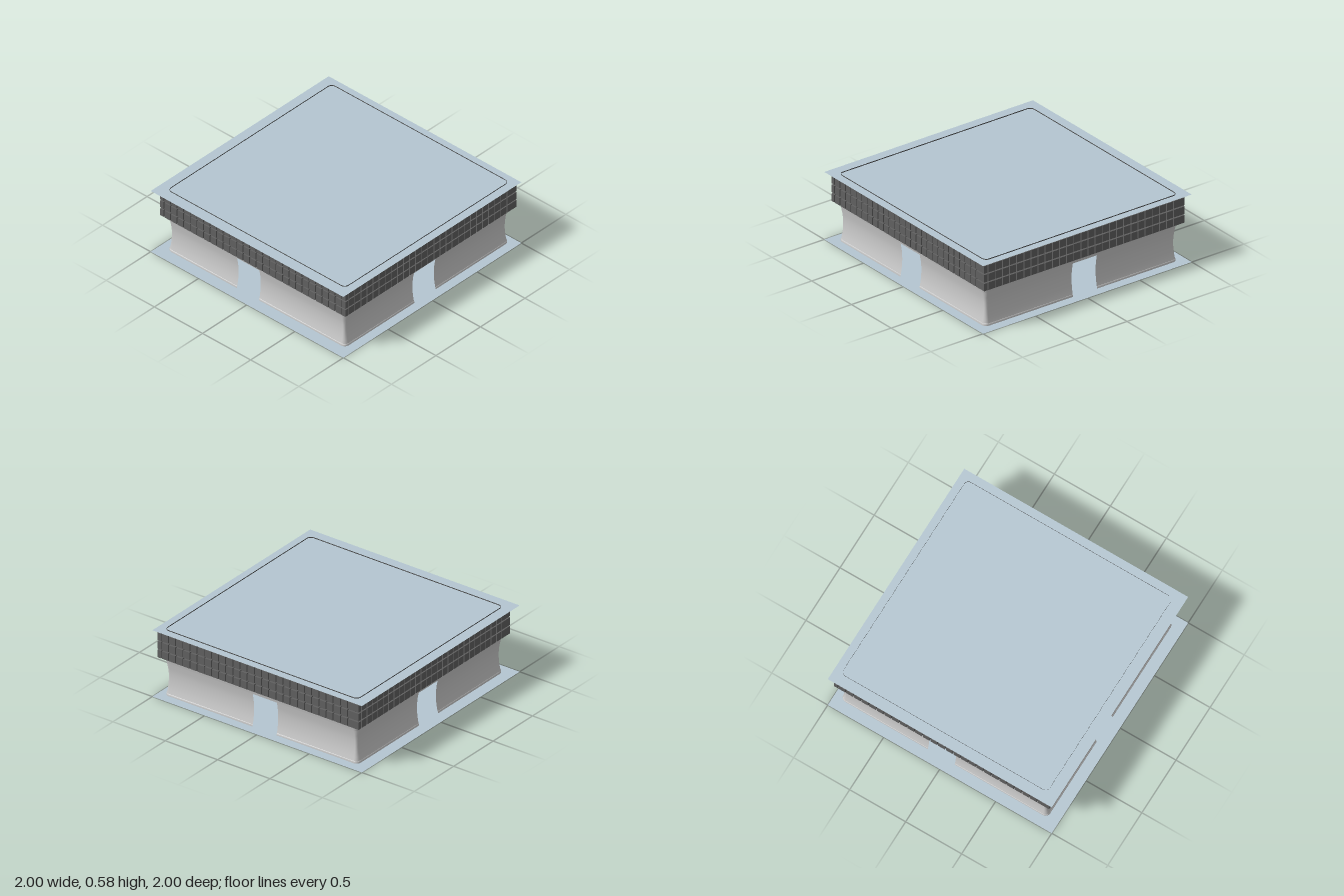
import * as THREE from 'three';
import { mergeGeometries } from 'three/addons/utils/BufferGeometryUtils.js';

const HALF = 0.923;    // half width of the building
const RADIUS = 0.04;   // corner rounding
const CENTER = [0.015, 0.01];

// Doorway limits along each side: front, +x side, back, -x side
const DOORS = [[-0.145, 0.095], [-0.08, 0.15], [-0.145, 0.095], [-0.2, 0.03]];

const wallMat = new THREE.MeshStandardMaterial({ color: 0xcccccc, side: THREE.DoubleSide });
const darkMat = new THREE.MeshStandardMaterial({ color: 0x4c4c4c, side: THREE.DoubleSide });
const blockMat = new THREE.MeshStandardMaterial({ color: 0x606060 });
const slabMat = new THREE.MeshStandardMaterial({ color: 0xb4c6d1, side: THREE.DoubleSide });

// Turns a point on the front side to side k
function turn(s, h, k) {
  const c = [1, 0, -1, 0][k % 4], n = [0, 1, 0, -1][k % 4];
  return [s * c + h * n, -s * n + h * c];
}

// Plan path with outward normals, from position s0 on side k round the corner to s1 on the next
function cornerPath(k, s0, s1) {
  const path = [];
  const add = (s, h, nx, nz, side) => path.push([...turn(s, h, side), ...turn(nx, nz, side)]);
  add(s0, HALF, 0, 1, k);
  for (let i = 0; i <= 4; i++) {
    const t = (i / 4) * Math.PI / 2, n = [Math.sin(t), Math.cos(t)];
    add(HALF - RADIUS + RADIUS * n[0], HALF - RADIUS + RADIUS * n[1], n[0], n[1], k);
  }
  add(s1, HALF, 0, 1, k + 1);
  return path;
}

// Thin shell: profile of [offset, height] swept along a plan path
function sweep(path, profile) {
  const pos = [], index = [], m = profile.length;
  for (const [x, z, nx, nz] of path)
    for (const [d, y] of profile) pos.push(x + nx * d, y, z + nz * d);
  for (let i = 0; i < path.length - 1; i++)
    for (let j = 0; j < m - 1; j++) {
      const a = i * m + j, b = a + m;
      index.push(a, b, b + 1, a, b + 1, a + 1);
    }
  const geo = new THREE.BufferGeometry();
  geo.setAttribute('position', new THREE.Float32BufferAttribute(pos, 3));
  geo.setIndex(index);
  geo.computeVertexNormals();
  return geo;
}

export function createModel() {
  const model = new THREE.Group();
  const building = new THREE.Group();
  building.name = 'building';
  building.position.set(CENTER[0], 0, CENTER[1]);
  model.add(building);
  const add = (parent, name, geo, mat) => {
    const mesh = new THREE.Mesh(geo, mat);
    mesh.name = name;
    parent.add(mesh);
    return mesh;
  };

  // Ground and roof sheets
  for (const [name, y] of [['groundSheet', 0], ['roofSheet', 0.577]]) {
    const geo = new THREE.PlaneGeometry(2, 2).rotateX(-Math.PI / 2);
    add(model, name, geo, slabMat).position.y = y;
  }

  // Four concave wall sections between the doorways, with a small foot
  const wallCurve = [[-0.004, 0.03], [-0.01, 0.06], [-0.016, 0.1], [-0.019, 0.15],
    [-0.018, 0.2], [-0.013, 0.245], [-0.003, 0.295]];
  const foot = [[0, 0.012], [0, 0.026], [-0.004, 0.03]];
  for (let k = 0; k < 4; k++) {
    const path = cornerPath(k, DOORS[k][1], DOORS[(k + 1) % 4][0]);
    add(building, 'wallSection', sweep(path, wallCurve), wallMat);
    add(building, 'wallFoot', sweep(path, foot), wallMat);
  }

  // Full rings: lintel over the doorways and dark band behind the blocks
  const ring = [0, 1, 2, 3].flatMap(k => cornerPath(k, 0, 0));
  add(building, 'lintel', sweep(ring, [[-0.003, 0.295], [0.003, 0.32]]), wallMat);
  add(building, 'bandLip', sweep(ring, [[0.003, 0.32], [-0.004, 0.323]]), darkMat);
  add(building, 'upperBand', sweep(ring, [[-0.004, 0.323], [-0.002, 0.585]]), darkMat);

  // Three rows of blocks on each side, lapping past one corner like a pinwheel
  const depth = 0.042, columns = 27, pitch = 2 * HALF / columns, gap = 0.009;
  const blocks = [];
  const block = (s0, s1, y) => blocks.push(
    new THREE.BoxGeometry(s1 - s0, 0.064, depth)
      .translate((s0 + s1) / 2, y, HALF - 0.004 + depth / 2));
  for (const y of [0.375, 0.45, 0.525]) {
    block(-HALF - 0.038, -HALF - gap / 2, y);
    for (let i = 0; i < columns; i++)
      block(-HALF + i * pitch + gap / 2, -HALF + (i + 1) * pitch - gap / 2, y);
  }
  const row = mergeGeometries(blocks);
  for (let k = 0; k < 4; k++)
    add(building, 'blockRows', row, blockMat).rotation.y = k * Math.PI / 2;

  return model;
}
